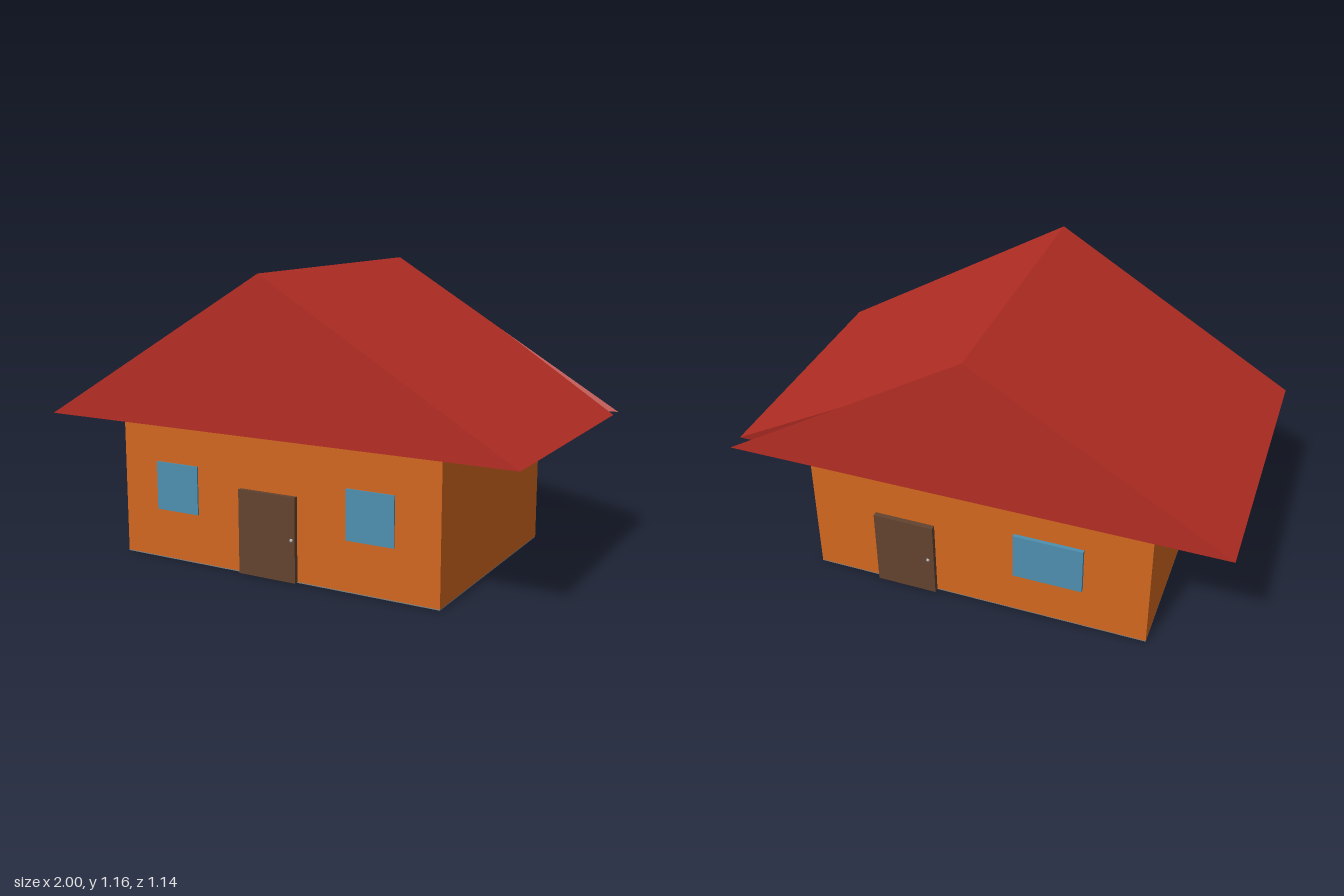
import * as THREE from 'three';

export function createModel() {
  const house = new THREE.Group();
  house.name = 'house';

  const paint = (name, color, side = THREE.FrontSide) => {
    const m = new THREE.MeshStandardMaterial({ color, side });
    m.name = name;
    return m;
  };
  const wallPaint = paint('orange wall', 0xd2671f);
  const roofPaint = paint('red roof', 0xb42d24, THREE.DoubleSide);
  const doorPaint = paint('brown door', 0x63432f);
  const glassPaint = paint('blue glass', 0x4e8fb0);
  const floorPaint = paint('grey floor', 0x848484);
  const knobPaint = paint('silver knob', 0xb4b4b4);

  const add = (name, geometry, material) => {
    const mesh = new THREE.Mesh(geometry, material);
    mesh.name = name;
    house.add(mesh);
    return mesh;
  };

  // Box given by its limits on each axis
  const box = (name, material, [x0, x1], [y0, y1], [z0, z1]) =>
    add(name, new THREE.BoxGeometry(x1 - x0, y1 - y0, z1 - z0), material)
      .position.set((x0 + x1) / 2, (y0 + y1) / 2, (z0 + z1) / 2);

  // Flat panel, fanned from its first corner
  const panel = (name, corners) => {
    const points = [];
    for (let i = 1; i < corners.length - 1; i++) {
      points.push(...corners[0], ...corners[i], ...corners[i + 1]);
    }
    const g = new THREE.BufferGeometry();
    g.setAttribute('position', new THREE.Float32BufferAttribute(points, 3));
    g.computeVertexNormals();
    add(name, g, roofPaint);
  };

  // Body and floor
  box('walls', wallPaint, [-0.7, 0.69], [0.004, 0.558], [-0.5, 0.487]);
  box('floor', floorPaint, [-0.7, 0.69], [0, 0.004], [-0.5, 0.487]);

  // Roof: the right slope has a split at its back corner
  const E = 0.56, R = 1.16, Z = 0.572;
  const ridgeFront = [0, R, Z], ridgeBack = [0, R, -Z];
  const leftFront = [-1, E, Z], leftBack = [-1, E, -Z];
  const rightFront = [1, E, Z], rightBack = [1, E, -Z];
  const slopeCorner = [1, E, -0.5];
  const splitTop = [0.49, R - 0.49 * (R - E), -Z];
  const wallCorner = [0.69, E, -0.5];
  panel('frontGable', [leftFront, rightFront, ridgeFront]);
  panel('backGable', [ridgeBack, splitTop, rightBack, leftBack]);
  panel('leftSlope', [leftBack, leftFront, ridgeFront, ridgeBack]);
  panel('rightSlope', [ridgeFront, rightFront, slopeCorner, splitTop, ridgeBack]);
  panel('soffit', [wallCorner, slopeCorner, rightFront, leftFront, leftBack, rightBack]);
  panel('splitGableSide', [rightBack, splitTop, wallCorner]);
  panel('splitSlopeSide', [slopeCorner, wallCorner, splitTop]);

  // Doors with round knobs
  const door = (name, x0, z, face, knobX) => {
    box(name, doorPaint, [x0, x0 + 0.25], [0.002, 0.335], [Math.min(z, face), Math.max(z, face)]);
    const knob = add(name + 'Knob', new THREE.SphereGeometry(0.007, 12, 8), knobPaint);
    knob.position.set(knobX, 0.168, face);
  };
  door('frontDoor', -0.145, 0.48, 0.505, 0.09);
  door('backDoor', 0.17, -0.49, -0.521, 0.195);

  // Windows
  box('frontLeftWindow', glassPaint, [0.315, 0.51], [0.2, 0.395], [0.485, 0.493]);
  box('frontRightWindow', glassPaint, [-0.54, -0.345], [0.2, 0.395], [0.485, 0.493]);
  box('backWindow', glassPaint, [-0.44, -0.16], [0.19, 0.39], [-0.515, -0.495]);

  return house;
}
